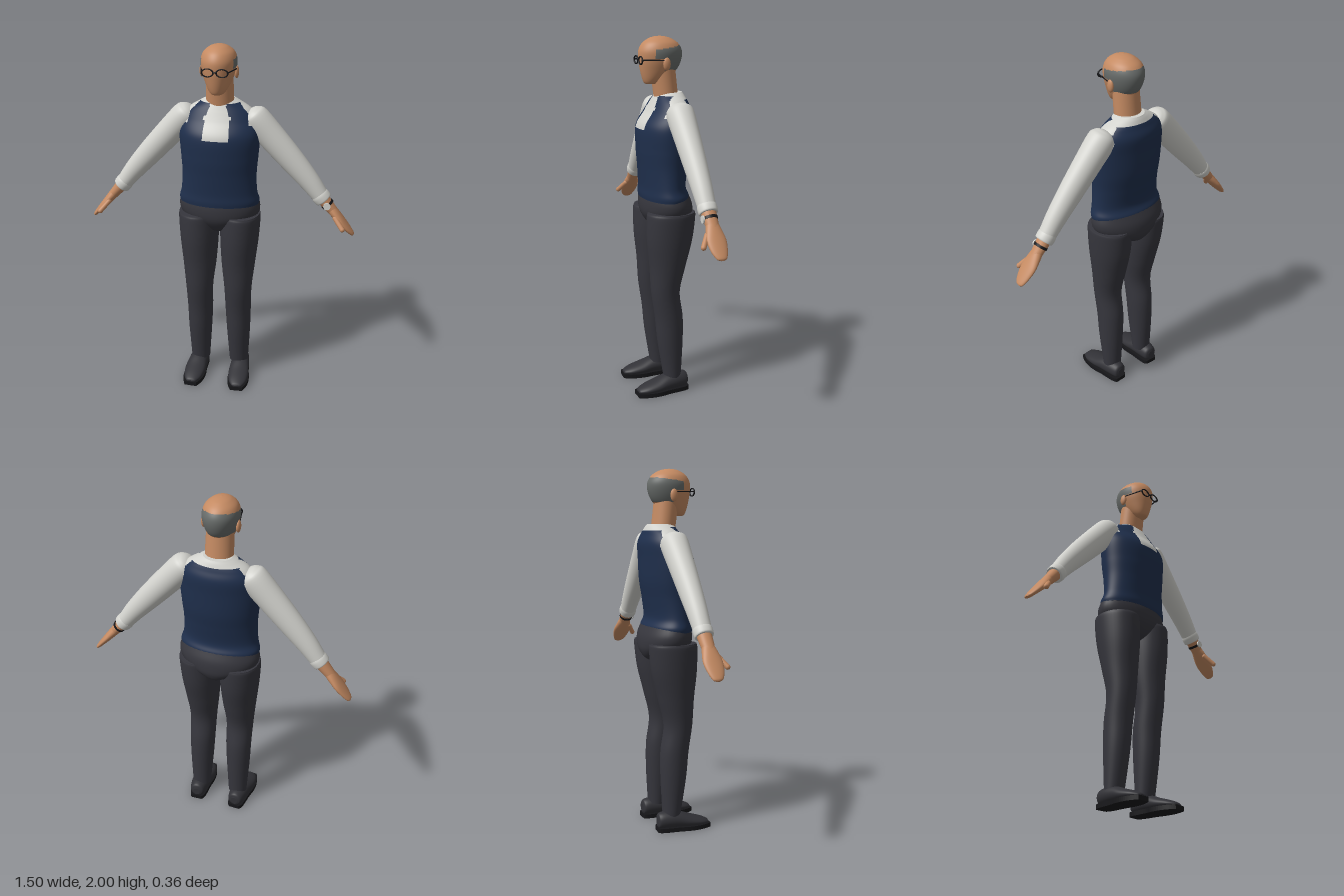
import * as THREE from 'three';

const paint = (name, color) => Object.assign(new THREE.MeshStandardMaterial({ color }), { name });
const skin = paint('skin', 0xc48a62);
const white = paint('shirt white', 0xd2d2cd);
const navy = paint('vest navy', 0x1f2f4c);
const charcoal = paint('trouser charcoal', 0x36363d);
const shoeGrey = paint('shoe grey', 0x323237);
const black = paint('black', 0x17171a);
const grey = paint('hair grey', 0x686c6a);

// Smooth body through elliptical rings [y, centre x, centre z, radius x, radius z], listed upwards.
// pick(x, y, z) chooses which of two materials a face gets.
function loft(name, rings, material, { rows = 32, seg = 40, pick = () => 0 } = {}) {
  const spline = new THREE.CubicInterpolant(rings.map((r, i) => i), rings.flat(), 5);
  const pos = [], lists = [[], []];
  const put = (r, a) => pos.push(r[1] + r[3] * Math.cos(a), r[0], r[2] + r[4] * Math.sin(a));
  const ringAt = (i) => Array.from(spline.evaluate((i / rows) * (rings.length - 1)));
  for (let i = 0; i <= rows; i++) {
    const r = ringAt(i);
    for (let j = 0; j < seg; j++) put(r, (j / seg) * Math.PI * 2);
  }
  for (let i = 0; i < rows; i++) {
    for (let j = 0; j < seg; j++) {
      const k = (j + 1) % seg;
      const a = i * seg + j, b = a + seg, c = i * seg + k, d = c + seg;
      const mid = [0, 1, 2].map((n) => (pos[a * 3 + n] + pos[d * 3 + n]) / 2);
      lists[pick(...mid)].push(a, b, c, b, d, c);
    }
  }
  // Flat end caps with their own corners
  for (const end of [0, rows]) {
    const r = ringAt(end), base = pos.length / 3;
    pos.push(r[1], r[0], r[2]);
    for (let j = 0; j < seg; j++) put(r, (j / seg) * Math.PI * 2);
    for (let j = 0; j < seg; j++) {
      const a = base + 1 + j, b = base + 1 + ((j + 1) % seg);
      lists[pick(r[1], r[0], r[2])].push(base, ...(end ? [b, a] : [a, b]));
    }
  }
  const geo = new THREE.BufferGeometry();
  geo.setAttribute('position', new THREE.Float32BufferAttribute(pos, 3));
  geo.setIndex([...lists[0], ...lists[1]]);
  geo.computeVertexNormals();
  if (Array.isArray(material)) {
    geo.addGroup(0, lists[0].length, 0);
    geo.addGroup(lists[0].length, lists[1].length, 1);
  }
  const mesh = new THREE.Mesh(geo, material);
  mesh.name = name;
  return mesh;
}

function part(name, geo, material, x = 0, y = 0, z = 0) {
  const mesh = new THREE.Mesh(geo, material);
  mesh.name = name;
  mesh.position.set(x, y, z);
  return mesh;
}

function rod(name, from, to, radius, material) {
  const path = new THREE.LineCurve3(new THREE.Vector3(...from), new THREE.Vector3(...to));
  return part(name, new THREE.TubeGeometry(path, 1, radius, 8), material);
}

// Shirt shows at the shoulders, the nape and the front opening
function shirtShows(x, y, z) {
  const ax = Math.abs(x);
  const opening = y < 1.62 ? 0.07 : 0.07 - (y - 1.62) * 0.45;
  if (z > -0.03 && ax < opening && y > 1.505) return 1;
  if (y > 1.58 && ax > 0.165) return 1;
  if (y + 0.94 * ax > 1.787 || y > 1.688) return 1;
  return z < -0.06 && y > 1.668 ? 1 : 0;
}

function hairShows(x, y, z) {
  const low = z > -0.01 ? 1.885 : 1.82;
  return z < 0.045 && y > low && y < 1.936 - 0.14 * z ? 1 : 0;
}

function makeTorso() {
  return [
    loft('vestAndShirt', [
      [1.125, 0, -0.025, 0.222, 0.125], [1.15, 0, -0.025, 0.224, 0.127], [1.2, 0, -0.017, 0.211, 0.118],
      [1.3, 0, -0.02, 0.206, 0.128], [1.4, 0, -0.024, 0.213, 0.14], [1.52, 0, -0.028, 0.22, 0.141],
      [1.6, 0, -0.053, 0.203, 0.118], [1.65, 0, -0.058, 0.168, 0.096], [1.685, 0, -0.06, 0.112, 0.08],
      [1.703, 0, -0.06, 0.078, 0.07],
    ], [navy, white], { rows: 90, seg: 96, pick: shirtShows }),
    loft('trouserSeat', [
      [0.945, 0, -0.045, 0.025, 0.05], [0.97, 0, -0.048, 0.075, 0.1], [1.01, 0, -0.045, 0.16, 0.128],
      [1.05, 0, -0.04, 0.212, 0.139], [1.1, 0, -0.036, 0.228, 0.137], [1.16, 0, -0.028, 0.215, 0.12],
    ], charcoal),
    loft('neck', [
      [1.66, 0, -0.045, 0.076, 0.066], [1.72, 0, -0.037, 0.075, 0.066], [1.84, 0, -0.022, 0.072, 0.068],
    ], skin, { rows: 8 }),
  ];
}

function makeHead() {
  const head = new THREE.Group();
  head.name = 'head';
  head.add(loft('skullAndHair', [
    [1.748, 0, 0.045, 0.026, 0.026], [1.756, 0, 0.04, 0.038, 0.042], [1.78, 0, 0.024, 0.055, 0.068],
    [1.82, 0, 0.002, 0.074, 0.1], [1.87, 0, -0.007, 0.09, 0.117], [1.92, 0, -0.009, 0.095, 0.12],
    [1.96, 0, -0.008, 0.081, 0.1], [1.985, 0, -0.006, 0.053, 0.066], [1.996, 0, -0.005, 0.028, 0.034],
    [2.0, 0, -0.005, 0.002, 0.002],
  ], [skin, grey], { rows: 80, seg: 80, pick: hairShows }));
  // Ears and spectacles
  for (const s of [1, -1]) {
    const ear = part('ear', new THREE.SphereGeometry(1, 16, 12), skin, s * 0.092, 1.857, -0.014);
    ear.scale.set(0.013, 0.034, 0.021);
    const rim = part('glassesRim', new THREE.TorusGeometry(0.03, 0.0045, 8, 28), black, s * 0.038, 1.875, 0.114);
    rim.scale.set(1, 0.68, 1);
    head.add(ear, rim, rod('glassesTemple', [s * 0.068, 1.878, 0.113], [s * 0.094, 1.876, 0.0], 0.0035, black));
  }
  head.add(rod('glassesBridge', [-0.01, 1.878, 0.115], [0.01, 1.878, 0.115], 0.004, black));
  return head;
}

// The arm hangs down its own y axis and swings out from the shoulder
function makeArm(s) {
  const arm = new THREE.Group();
  arm.name = s > 0 ? 'leftArm' : 'rightArm';
  arm.position.set(s * 0.19, 1.6, -0.053);
  arm.rotation.z = s * 0.72;
  arm.add(
    loft('sleeve', [
      [-0.555, 0, 0, 0.047, 0.047], [-0.45, s * 0.006, 0, 0.057, 0.053], [-0.3, s * 0.006, 0, 0.068, 0.061],
      [-0.12, s * 0.003, 0, 0.075, 0.07], [0, 0, 0, 0.076, 0.075], [0.035, 0, 0, 0.058, 0.062],
      [0.052, 0, 0, 0.034, 0.038], [0.059, 0, 0, 0.003, 0.003],
    ], white),
    loft('cuff', [
      [-0.587, 0, 0, 0.045, 0.047], [-0.58, 0, 0, 0.049, 0.05], [-0.555, 0, 0, 0.05, 0.051], [-0.54, 0, 0, 0.047, 0.048],
    ], white, { rows: 9 }),
    loft('wrist', [[-0.675, 0, 0, 0.026, 0.033], [-0.62, 0, 0, 0.031, 0.037], [-0.56, 0, 0, 0.037, 0.041]], skin, { rows: 8 }),
    loft('hand', [
      [-0.846, 0, -0.003, 0.005, 0.012], [-0.835, 0, -0.002, 0.011, 0.028], [-0.795, 0, 0, 0.016, 0.044],
      [-0.74, 0, 0, 0.021, 0.052], [-0.69, 0, 0, 0.025, 0.044], [-0.65, 0, 0, 0.027, 0.034],
    ], skin),
  );
  const thumb = part('thumb', new THREE.CapsuleGeometry(0.014, 0.075, 6, 12), skin, -s * 0.008, -0.732, 0.055);
  thumb.rotation.x = -0.5;
  arm.add(thumb);
  // Watch on the left wrist only
  if (s > 0) {
    const band = part('watchBand', new THREE.CylinderGeometry(0.037, 0.036, 0.014, 24), black, 0, -0.617, 0);
    band.scale.z = 1.08;
    const dial = part('watchDial', new THREE.CylinderGeometry(0.02, 0.02, 0.008, 20), white, 0, -0.617, 0.04);
    dial.rotation.x = Math.PI / 2;
    arm.add(band, dial);
  }
  return arm;
}

function makeLeg(s) {
  const leg = new THREE.Group();
  leg.name = s > 0 ? 'leftLeg' : 'rightLeg';
  leg.add(loft('trouserLeg', [
    [0.085, s * 0.117, -0.04, 0.055, 0.05], [0.3, s * 0.115, -0.028, 0.068, 0.073], [0.45, s * 0.113, -0.02, 0.074, 0.08],
    [0.6, s * 0.113, 0, 0.079, 0.081], [0.75, s * 0.112, -0.012, 0.095, 0.102], [0.9, s * 0.115, -0.023, 0.108, 0.128],
    [1.03, s * 0.118, -0.03, 0.113, 0.136], [1.06, s * 0.118, -0.032, 0.109, 0.132],
  ], charcoal, { rows: 42 }));

  const shoe = new THREE.Group();
  shoe.name = 'shoe';
  shoe.position.set(s * 0.129, 0, 0);
  shoe.rotation.y = s * 0.05;
  // Upper is lofted heel to toe, then laid along z: [z, x, -height, half width, half height]
  const upper = loft('shoeUpper', [
    [-0.127, 0, -0.055, 0.02, 0.025], [-0.115, 0, -0.06, 0.041, 0.043], [-0.06, 0, -0.062, 0.052, 0.049],
    [0.0, 0, -0.057, 0.056, 0.045], [0.06, 0, -0.045, 0.06, 0.035], [0.125, 0, -0.035, 0.052, 0.024],
    [0.165, 0, -0.029, 0.032, 0.013], [0.174, 0, -0.026, 0.018, 0.006],
  ], shoeGrey);
  upper.rotation.x = Math.PI / 2;
  const outline = new THREE.Shape();
  outline.moveTo(-0.03, -0.13);
  outline.lineTo(0.03, -0.13);
  outline.bezierCurveTo(0.058, -0.12, 0.046, -0.03, 0.06, 0.03);
  outline.bezierCurveTo(0.068, 0.09, 0.058, 0.14, 0.035, 0.18);
  outline.lineTo(-0.035, 0.18);
  outline.bezierCurveTo(-0.058, 0.14, -0.068, 0.09, -0.06, 0.03);
  outline.bezierCurveTo(-0.046, -0.03, -0.058, -0.12, -0.03, -0.13);
  const sole = part('shoeSole', new THREE.ExtrudeGeometry(outline, { depth: 0.024, bevelEnabled: false }), black, 0, 0.024, 0);
  sole.rotation.x = Math.PI / 2;
  shoe.add(upper, sole);
  leg.add(shoe);
  return leg;
}

export function createModel() {
  const man = new THREE.Group();
  man.name = 'standingMan';
  man.add(...makeTorso(), makeHead());
  for (const s of [1, -1]) man.add(makeArm(s), makeLeg(s));
  man.position.x = -0.01;
  const model = new THREE.Group();
  model.name = 'figure';
  model.add(man);
  return model;
}
